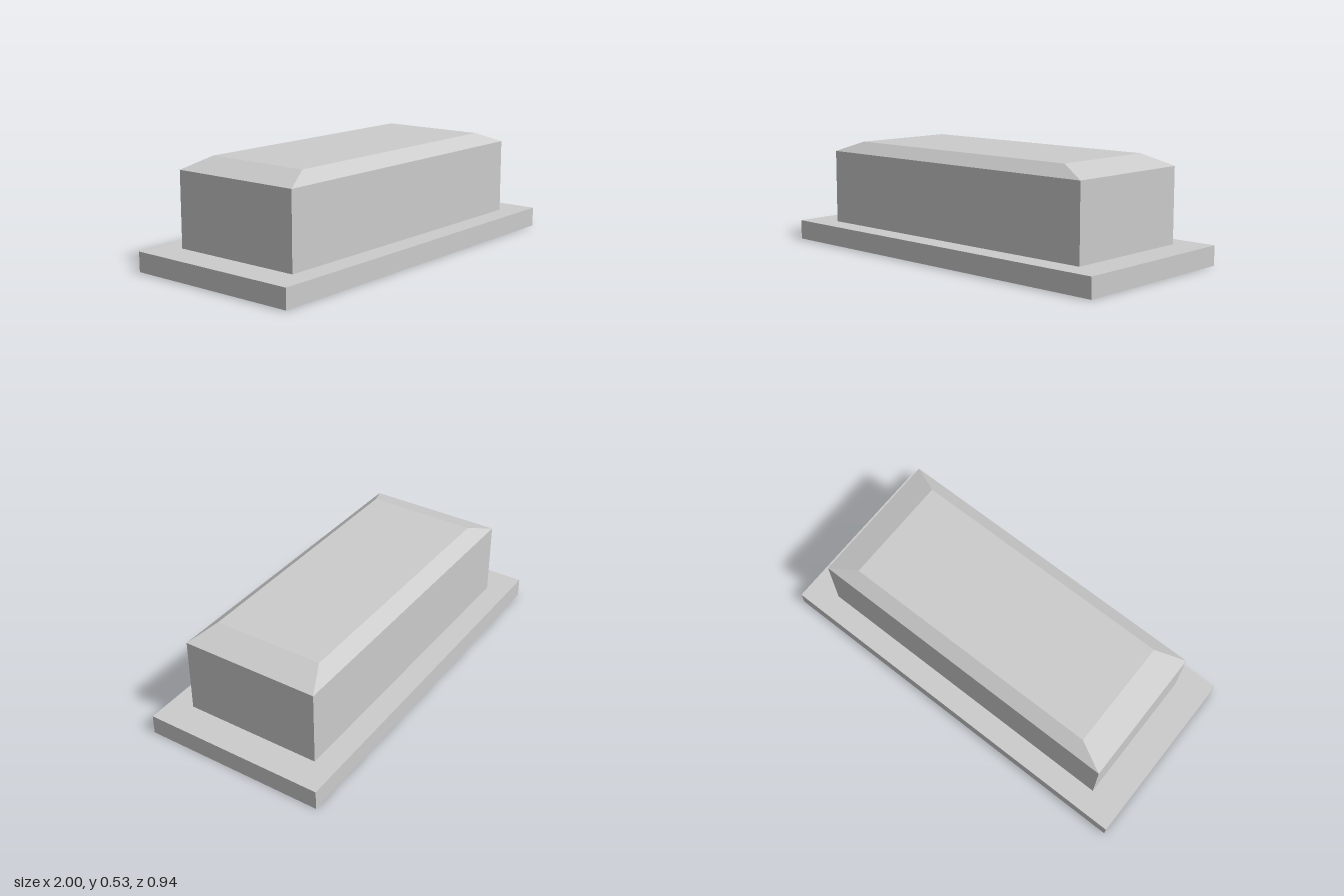
import * as THREE from 'three';

const material = new THREE.MeshStandardMaterial({ color: 0xcccccc, flatShading: true });

// Box standing on y = bottom, its top face optionally narrowed to topW x topD
function block(name, w, h, d, bottom, topW = w, topD = d) {
  const geometry = new THREE.BoxGeometry(w, h, d);
  const p = geometry.attributes.position;
  for (let i = 0; i < p.count; i++) {
    if (p.getY(i) > 0) {
      p.setX(i, Math.sign(p.getX(i)) * topW / 2);
      p.setZ(i, Math.sign(p.getZ(i)) * topD / 2);
    }
  }
  geometry.translate(0, bottom + h / 2, 0);
  geometry.computeVertexNormals();
  const mesh = new THREE.Mesh(geometry, material);
  mesh.name = name;
  return mesh;
}

export function createModel() {
  const model = new THREE.Group();
  model.name = 'steppedBlock';

  // Wide flat plinth
  model.add(block('basePlate', 2, 0.1, 0.935, 0));

  // Upright body and its sloped cap, set a hair toward +x
  const upper = new THREE.Group();
  upper.name = 'upperBlock';
  upper.position.x = 0.003;
  upper.add(block('body', 1.674, 0.379, 0.705, 0.1));
  upper.add(block('bevelledCap', 1.674, 0.055, 0.705, 0.479, 1.376, 0.565));
  model.add(upper);

  return model;
}
